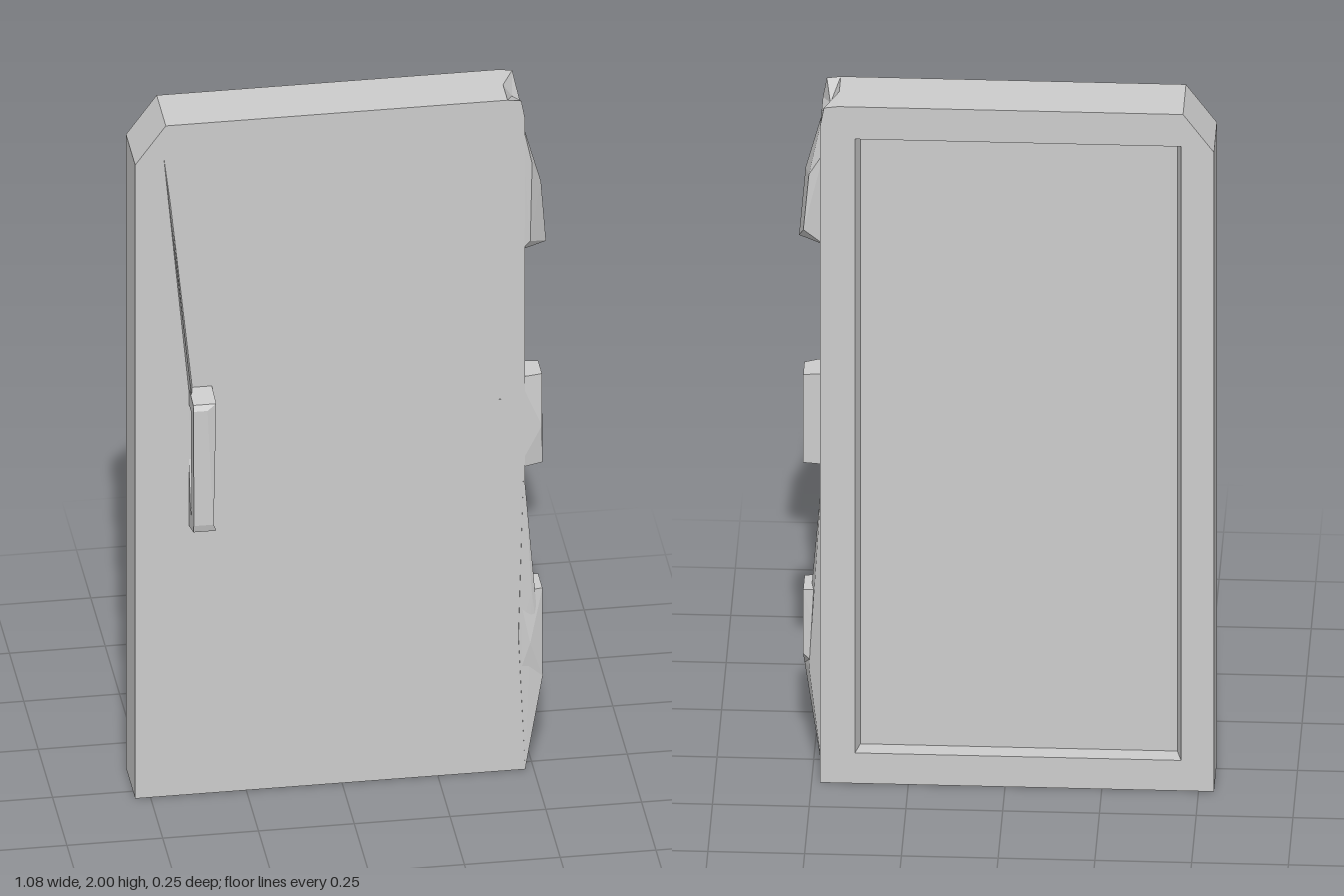
import * as THREE from 'three';
import { ConvexGeometry } from 'three/addons/geometries/ConvexGeometry.js';

const BACK = -0.122, FRONT = 0.038, FLOOR = -0.073;

export function createModel() {
  const group = new THREE.Group();
  const grey = new THREE.MeshStandardMaterial({ color: 0xcccccc, flatShading: true });
  grey.name = 'door grey';

  const add = (name, geometry) => {
    const mesh = new THREE.Mesh(geometry, grey);
    mesh.name = name;
    group.add(mesh);
  };
  const hull = (name, points) =>
    add(name, new ConvexGeometry(points.map((p) => new THREE.Vector3(...p))));
  const path2 = (points) => points.map((p) => new THREE.Vector2(...p));
  const outline = () => new THREE.Shape(path2([
    [-0.54, 0], [0.43, 0], [0.43, 2], [-0.46, 2], [-0.54, 1.89],
  ]));
  const slab = (shape, z0, z1) =>
    new THREE.ExtrudeGeometry(shape, { depth: z1 - z0, bevelEnabled: false }).translate(0, 0, z0);

  // Front panel
  add('doorPanel', slab(outline(), FLOOR, FRONT));

  // Frame around the shallow recess in the back; its side walls lean inward
  const left = 0.388, right = -0.455;
  const shape = outline();
  shape.holes.push(new THREE.Path(path2([
    [right, 0.09], [right, 1.905], [left, 1.905], [left, 0.09],
  ])));
  const frame = slab(shape, BACK, FLOOR);
  const fp = frame.attributes.position;
  for (let i = 0; i < fp.count; i++) {
    const x = fp.getX(i);
    if (fp.getZ(i) < FLOOR - 0.01) continue;
    if (Math.abs(x - left) < 0.001) fp.setX(i, x - 0.012);
    if (Math.abs(x - right) < 0.001) fp.setX(i, x + 0.012);
  }
  add('backFrame', frame);

  // Hinge-side stile, with a notch pressed into its top corner
  const stile = new THREE.BoxGeometry(2, 2, 2, 2, 2, 2);
  const pos = stile.attributes.position;
  for (let i = 0; i < pos.count; i++) {
    const [a, b, c] = [pos.getX(i), pos.getY(i), pos.getZ(i)].map(Math.round);
    let x = [0.42, 0.432, 0.478][a + 1];
    let y = [0, 1.94, 2][b + 1];
    const z = [BACK, -0.042, FRONT][c + 1];
    if (a === 1 && b === 1) {
      x = c === 0 ? 0.455 : 0.468;
      y = c === 0 ? 1.965 : 1.995;
    }
    pos.setXYZ(i, x, y, z);
  }
  add('hingeStile', stile);

  // Upper hinge, fading up into the stile
  hull('upperHinge', [
    [0.47, 1.93, 0.03], [0.47, 1.83, -0.06], [0.47, 1.55, 0.035], [0.47, 1.55, -0.05],
    [0.495, 1.81, 0.045], [0.51, 1.76, -0.055], [0.522, 1.74, 0.02],
    [0.538, 1.55, 0], [0.524, 1.6, -0.062], [0.49, 1.58, 0.046],
  ]);

  // Middle hinge block
  hull('middleHinge', [
    [0.46, 1.17, 0.038], [0.46, 1.17, -0.05], [0.46, 0.9, 0.038], [0.46, 0.9, -0.05],
    [0.525, 1.165, -0.05], [0.525, 1.165, 0.018], [0.522, 1.02, 0.036],
    [0.525, 0.905, -0.05], [0.525, 0.905, 0.025],
  ]);

  // Lower hinge block and the tapering flare around it
  hull('lowerHinge', [
    [0.46, 0.53, 0.038], [0.46, 0.53, -0.05], [0.525, 0.53, -0.05], [0.525, 0.53, 0.025],
    [0.525, 0.34, -0.05], [0.525, 0.27, 0.03], [0.49, 0.38, 0.046], [0.46, 0.28, -0.055],
    [0.46, 0.28, 0.038],
  ]);
  hull('lowerFlare', [
    [0.474, 0.9, FRONT], [0.474, 0.9, -0.08], [0.495, 0.53, FRONT], [0.474, 0.02, -0.09],
    [0.525, 0.27, 0.03], [0.51, 0.3, -0.05], [0.478, 0, FRONT], [0.46, 0.4, 0.042],
  ]);

  // Pull handle: a bar standing off the panel on two feet, the lower one sloping
  const loop = new THREE.Shape(path2([
    [0.03, 0.8], [0.118, 0.828], [0.124, 0.85], [0.123, 1.19], [0.115, 1.205], [0.03, 1.215],
  ]));
  loop.holes.push(new THREE.Path(path2([
    [0.034, 1.02], [0.04, 1.165], [0.076, 1.165], [0.083, 0.855], [0.066, 0.87],
  ])));
  const handle = new THREE.ExtrudeGeometry(loop, { depth: 0.06, bevelEnabled: false });
  handle.rotateY(-Math.PI / 2).translate(-0.34, 0, 0);
  // The bar is pinched on its inner side between the feet
  const hp = handle.attributes.position;
  for (let i = 0; i < hp.count; i++) {
    const between = hp.getY(i) > 0.84 && hp.getY(i) < 1.195;
    if (between && hp.getX(i) > -0.37) hp.setX(i, hp.getY(i) > 1.1 ? -0.364 : -0.348);
  }
  add('handle', handle);

  // Thin ridge running from the handle to the top corner
  hull('handleRidge', [
    [-0.465, 1.9, 0.039], [-0.4, 1.2, 0.03], [-0.388, 1.2, 0.03], [-0.397, 1.2, 0.072],
    [-0.46, 1.9, 0.03],
  ]);

  // Fine seam on the front
  const seam = new THREE.BoxGeometry(0.005, 0.77, 0.004);
  add('frontSeam', seam.translate(0.412, 0.725, FRONT));

  return group;
}
